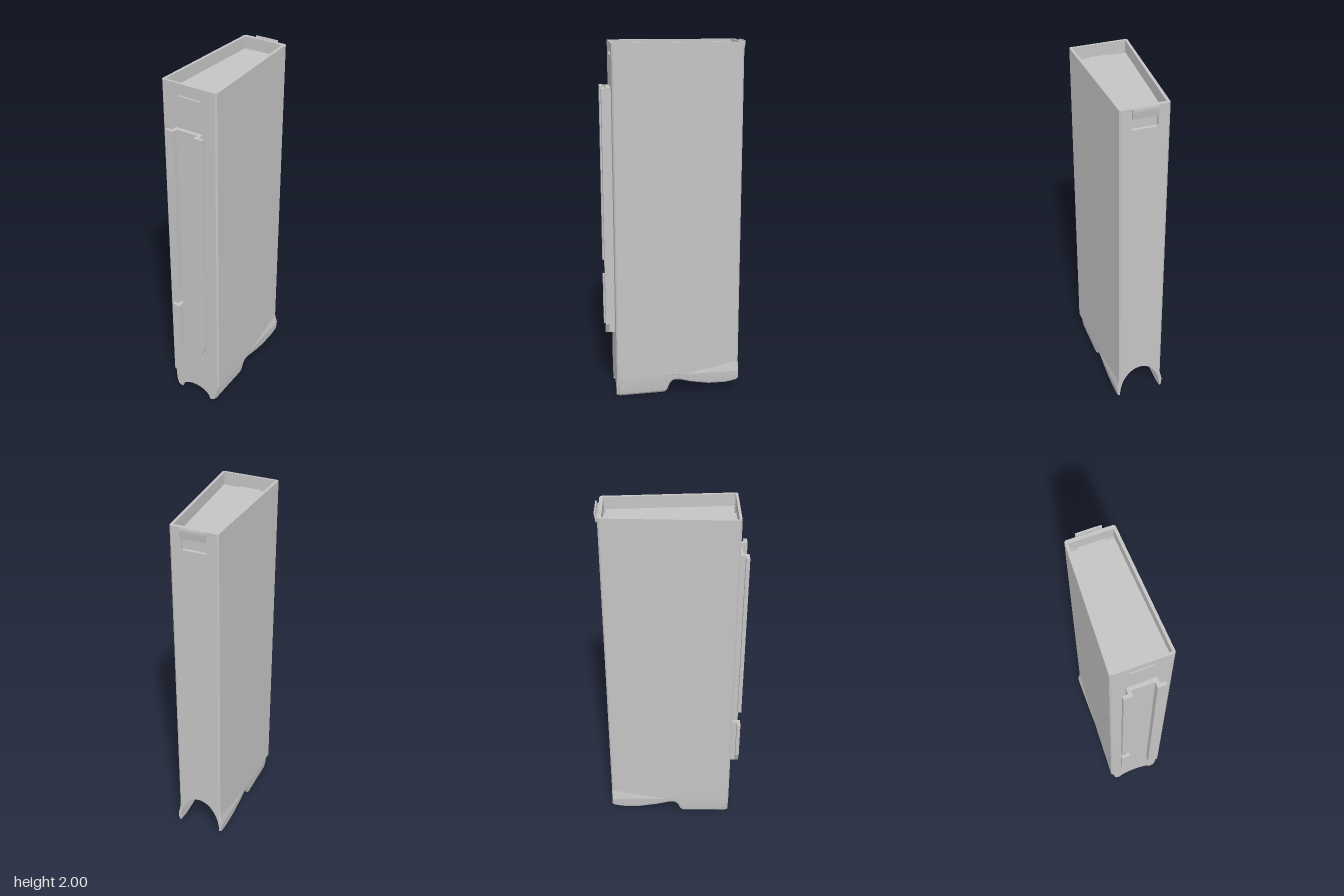
import * as THREE from 'three';
import { toCreasedNormals } from 'three/addons/utils/BufferGeometryUtils.js';

const FRONT = 0.335, BACK = -0.372, SPLIT = 0.32;
const lerp = THREE.MathUtils.lerp;

// half-width of the wedge-shaped body at a given depth
const bodyHalf = (z) => 0.128 + (z - BACK) * 0.0453;

// linear lookup in a short list of [z, value], z falling
function sample(table, z) {
  for (let i = 1; i < table.length; i++) {
    const [z0, v0] = table[i - 1], [z1, v1] = table[i];
    if (z >= z1) return lerp(v0, v1, (z - z0) / (z1 - z0));
  }
  return table[table.length - 1][1];
}

// mirrored outline in plan; points are [x, z] of the +x side, front to back
function planPoints(half) {
  return [...half, ...half.map(([x, z]) => [-x, z]).reverse()]
    .map(([x, z]) => new THREE.Vector2(x, -z));
}

function extrudeUp(shape, y0, y1) {
  const g = new THREE.ExtrudeGeometry(shape, { depth: y1 - y0, bevelEnabled: false });
  return g.rotateX(-Math.PI / 2).translate(0, y0, 0);
}

// one storey of the hollow wall, optionally notched at front or back
function wallLayer(y0, y1, frontNotch, backNotch) {
  const c = 0.008, n = 0.066, d = 0.011;
  const half = [];
  if (frontNotch) half.push([n, FRONT - d], [n, FRONT]);
  half.push([bodyHalf(FRONT) - c, FRONT], [bodyHalf(FRONT - c), FRONT - c],
    [bodyHalf(BACK + c), BACK + c], [bodyHalf(BACK) - c, BACK]);
  if (backNotch) half.push([n, BACK], [n, BACK + d + 0.006]);
  const shape = new THREE.Shape(planPoints(half));
  shape.holes.push(new THREE.Path(planPoints([[0.145, 0.322], [0.113, -0.352]])));
  return extrudeUp(shape, y0, y1);
}

// bottom edge, cavity roof, wall thickness and roundness of the cavity along the depth
const EDGE = [[0.335, 0.004], [0.06, 0.01], [0.045, 0.022], [0.03, 0.06], [0.015, 0.08],
  [0, 0.086], [-0.03, 0.085], [-0.1, 0.066], [-0.2, 0.05], [-0.3, 0.05], [-0.355, 0.06], [-0.372, 0.07]];
const ROOF = [[0.335, 0.066], [0.32, 0.066], [0.319, 0.27], [-0.372, 0.27]];
const THICK = [[0.335, 0.045], [0.32, 0.045], [0.319, 0.03], [0.06, 0.028], [0, 0.016], [-0.372, 0.015]];
const ROUND = [[0.335, 1], [0.32, 1], [0.319, 0.3], [-0.357, 0.3], [-0.358, 1], [-0.372, 1]];

// cross-section of the foot: outer wall, step or flare, rounded lip, arched cavity
function footSection(z) {
  const inset = z === FRONT || z === BACK ? 0.008 : 0;
  const wb = bodyHalf(z) - inset;
  const ws = sample([[FRONT, 0.145], [BACK, 0.141]], z) - inset * 0.3;
  const yb = sample(EDGE, z), yt = sample(ROOF, z), t = sample(THICK, z), p = sample(ROUND, z);
  const flare = 0.122 + Math.max(0, -0.08 - z) * 0.2;
  const side = [[wb, SPLIT], [wb, flare], [ws, 0.12], [ws - 0.1 * t, lerp(yb, 0.12, 0.4)],
    [ws - 0.3 * t, lerp(yb, 0.12, 0.1)], [ws - 0.6 * t, yb]];
  const arch = [];
  for (let i = 0; i <= 40; i++) {
    const a = Math.PI * i / 40, c = Math.cos(a), s = Math.max(0, Math.sin(a));
    arch.push([(ws - t) * Math.sign(c) * Math.abs(c) ** p, yb + (yt - yb) * s ** p]);
  }
  return [...side, ...arch, ...side.map(([x, y]) => [-x, y]).reverse()];
}

function footGeometry() {
  const zs = [FRONT, 0.327, 0.32, 0.319, 0.2, 0.06, 0.052, 0.045, 0.037, 0.03, 0.022, 0.015, 0.007, 0,
    -0.015, -0.03, -0.06, -0.08, -0.1, -0.15, -0.2, -0.25, -0.3, -0.33, -0.357, -0.358, -0.364, BACK];
  const rows = zs.map(footSection), n = rows[0].length;
  const pos = [], index = [];
  rows.forEach((row, i) => row.forEach(([x, y]) => pos.push(x, y, zs[i])));
  for (let i = 0; i < rows.length - 1; i++) {
    for (let j = 0; j < n; j++) {
      const a = i * n + j, b = i * n + (j + 1) % n;
      index.push(a, b, a + n, b, b + n, a + n);
    }
  }
  // end faces
  for (const [i, dir] of [[0, 1], [rows.length - 1, -1]]) {
    const pts = rows[i].map(([x, y]) => new THREE.Vector2(x, y));
    for (const [a, b, c] of THREE.ShapeUtils.triangulateShape(pts, [])) {
      const area = THREE.ShapeUtils.area([pts[a], pts[b], pts[c]]);
      const tri = area * dir > 0 ? [a, b, c] : [a, c, b];
      index.push(...tri.map((k) => k + i * n));
    }
  }
  const g = new THREE.BufferGeometry();
  g.setAttribute('position', new THREE.Float32BufferAttribute(pos, 3));
  g.setIndex(index);
  return toCreasedNormals(g, 0.2);
}

export function createModel() {
  const model = new THREE.Group();
  const grey = new THREE.MeshStandardMaterial({ color: 0xc4c4c4, side: THREE.DoubleSide });
  grey.name = 'lightGrey';

  function add(name, geometry, parent = model) {
    const mesh = new THREE.Mesh(geometry, grey);
    mesh.name = name;
    parent.add(mesh);
  }
  function box(name, x0, x1, y0, y1, z0, z1, parent) {
    const g = new THREE.BoxGeometry(x1 - x0, y1 - y0, z1 - z0);
    add(name, g.translate((x0 + x1) / 2, (y0 + y1) / 2, (z0 + z1) / 2), parent);
  }

  // hollow wedge body with a front slot and a recess under the rear clip
  const body = new THREE.Group();
  body.name = 'body';
  model.add(body);
  add('mainWall', wallLayer(SPLIT, 1.88, false, false), body);
  add('recessWall', wallLayer(1.88, 1.93, false, true), body);
  add('slotWall', wallLayer(1.93, 1.945, true, true), body);
  add('rimWall', wallLayer(1.945, 1.997, false, false), body);

  // sunken lid with corner slots
  const lid = new THREE.Shape(planPoints([[0.146, 0.323], [0.114, -0.353]]));
  for (const s of [-1, 1]) {
    for (const [x0, x1, z0, z1] of [[0.058, 0.143, 0.312, 0.321], [0.068, 0.111, -0.35, -0.342]]) {
      lid.holes.push(new THREE.Path([[x0, z0], [x1, z0], [x1, z1], [x0, z1]]
        .map(([x, z]) => new THREE.Vector2(s * x, -z))));
    }
  }
  add('lid', extrudeUp(lid, 1.9, 1.93));

  // foot with an arched cavity open at both ends
  add('foot', footGeometry());

  // rear clip, a hooked profile extruded across the width
  const hook = new THREE.Shape([[0.36, 1.998], [0.368, 1.998], [0.38, 1.985], [0.383, 2], [0.39, 2],
    [0.39, 1.985], [0.383, 1.945], [0.378, 1.945], [0.372, 1.97], [0.36, 1.97]]
    .map(([x, y]) => new THREE.Vector2(x, y)));
  const clip = new THREE.ExtrudeGeometry(hook, { depth: 0.134, bevelEnabled: false });
  add('rearClip', clip.rotateY(Math.PI / 2).translate(-0.067, 0, 0));

  // front rail: base plate, legs and outward flanges; the right side has a gap
  const rail = new THREE.Group();
  rail.name = 'frontRail';
  model.add(rail);
  const y0 = 0.38, y1 = 1.76, inner = 0.061;
  box('railBase', -inner, inner, y0, y1, FRONT - 0.003, 0.357, rail);
  function railSide(name, side, bottom, top) {
    const [a, b] = side > 0 ? [inner, 0.08] : [-0.08, -inner];
    box(name + 'Leg', a, b, bottom, top, FRONT - 0.003, 0.37, rail);
    const chamfer = bottom === y0 ? [[0.08, y0], [0.11, 0.44]] : [[0.11, bottom]];
    const points = [[inner, bottom], ...chamfer, [0.11, top], [inner, top]];
    const shape = new THREE.Shape(points.map(([x, y]) => new THREE.Vector2(side * x, y)));
    const g = new THREE.ExtrudeGeometry(shape, { depth: 0.02, bevelEnabled: false });
    add(name + 'Flange', g.translate(0, 0, 0.368), rail);
  }
  railSide('left', 1, y0, y1);
  railSide('rightLower', -1, y0, 0.67);
  railSide('rightUpper', -1, 0.765, y1);

  return model;
}
